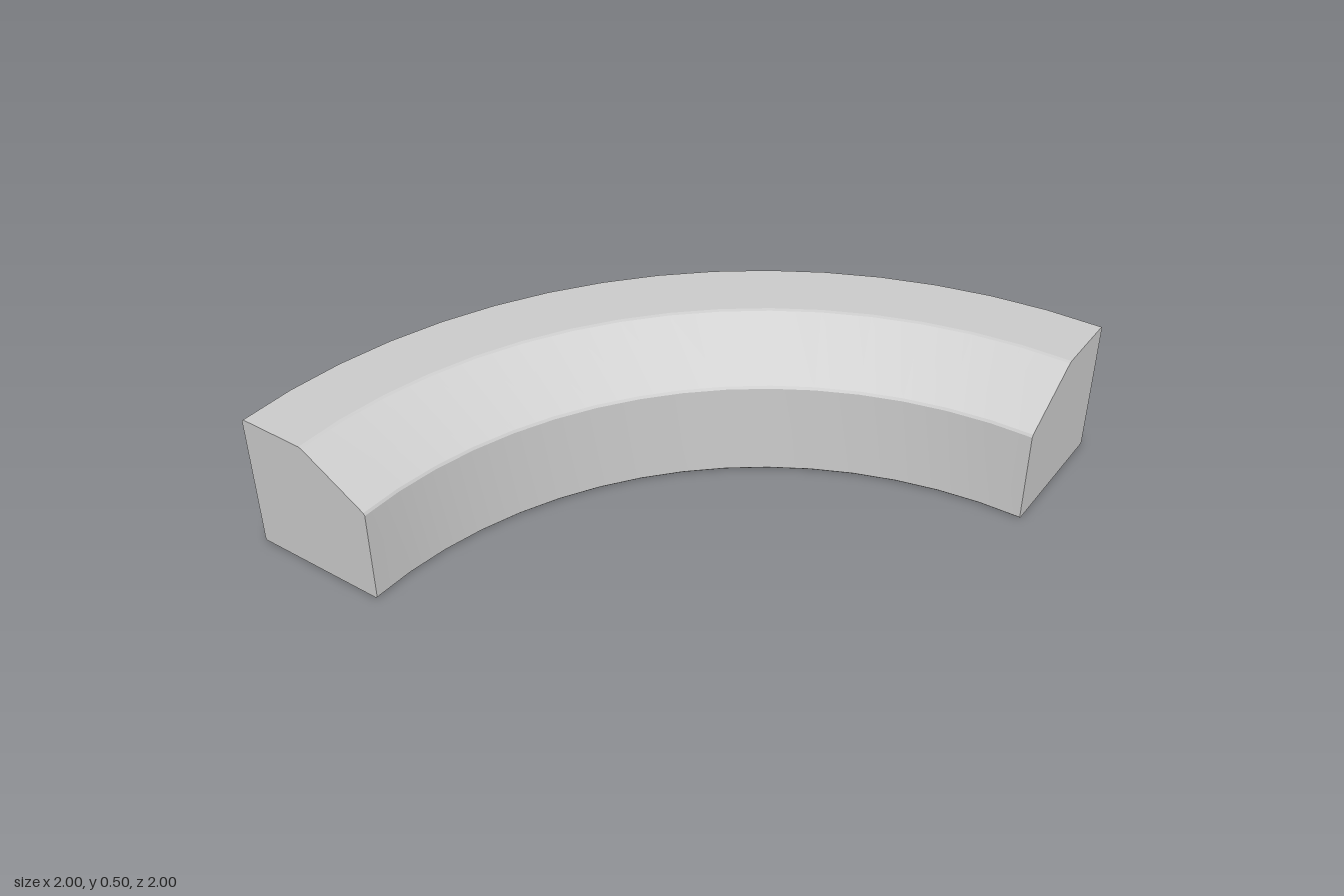
import * as THREE from 'three';
import { toCreasedNormals } from 'three/addons/utils/BufferGeometryUtils.js';

const SEGMENTS = 16;
const EDGE = 0.006; // width of the tiny edge chamfer

// Cross-section as (radius, height), counter-clockwise
const corners = [
  [2, 0], [2, 0.5], [1.75, 0.5], [1.505, 0.35], [1.505, 0],
].map(([r, y]) => new THREE.Vector2(r, y));

// Replace each corner by two points a small distance along its edges
function chamfer(points, size) {
  const n = points.length;
  return points.flatMap((p, i) =>
    [points[(i + n - 1) % n], points[(i + 1) % n]].map((q) =>
      q.clone().sub(p).setLength(size).add(p)));
}

export function createModel() {
  const group = new THREE.Group();
  group.name = 'curvedCurb';
  const material = new THREE.MeshStandardMaterial({ color: 0xcccccc });
  const profile = chamfer(corners, EDGE);

  const add = (name, geometry) => {
    const mesh = new THREE.Mesh(geometry, material);
    mesh.name = name;
    mesh.position.set(1, 0, 1); // centre of the arc
    group.add(mesh);
    return mesh;
  };

  // Quarter-ring body with a sloped inner top edge
  const ring = new THREE.LatheGeometry(
    [...profile, profile[0].clone()], SEGMENTS, Math.PI, Math.PI / 2);
  add('curvedBody', toCreasedNormals(ring, 0.2));

  // Flat end faces
  const mirrored = profile.map((p) => new THREE.Vector2(-p.x, p.y));
  add('frontEnd', new THREE.ShapeGeometry(new THREE.Shape(mirrored)));
  add('leftEnd', new THREE.ShapeGeometry(new THREE.Shape(profile))).rotation.y = Math.PI / 2;

  return group;
}
